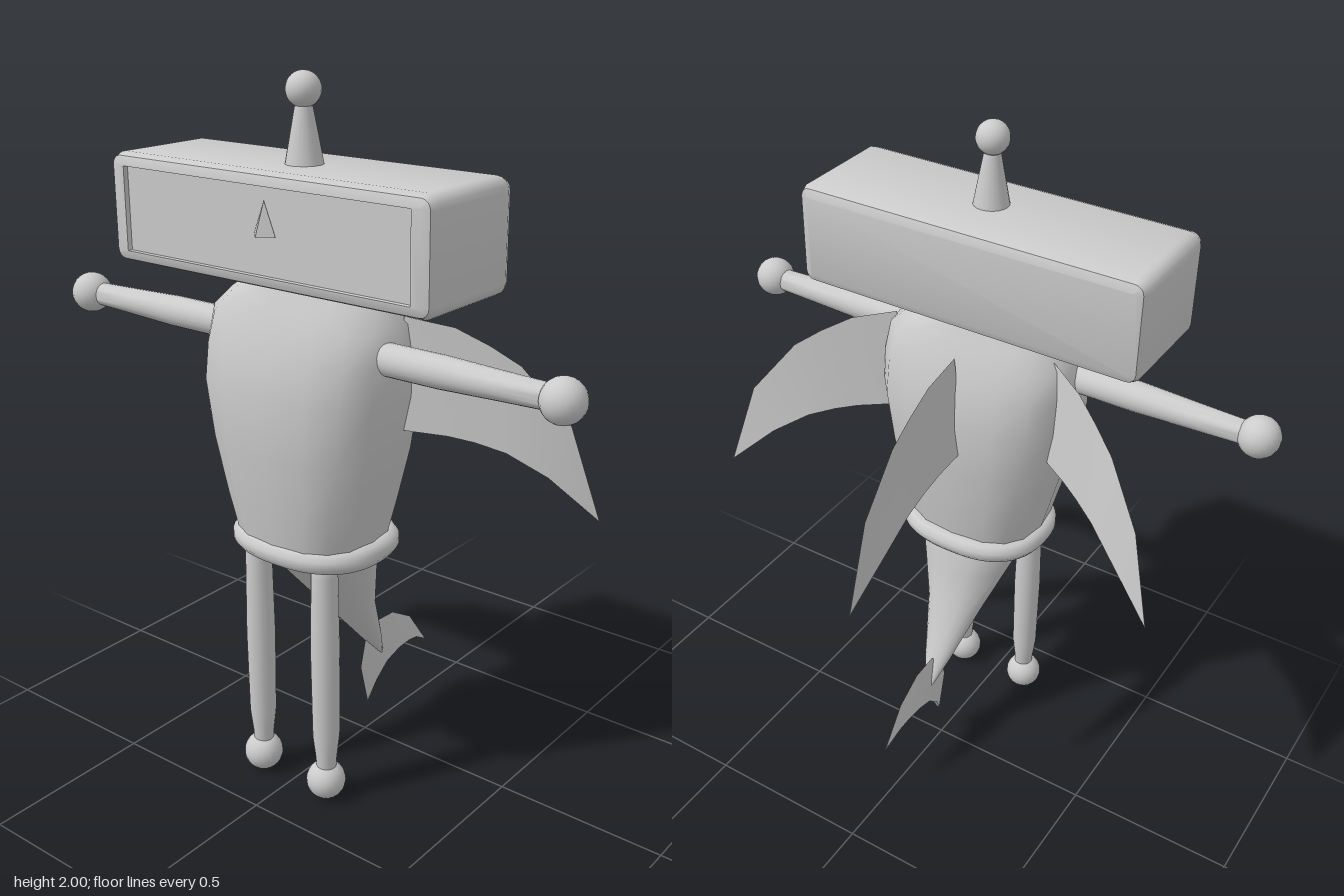
import * as THREE from 'three';
import { toCreasedNormals } from 'three/addons/utils/BufferGeometryUtils.js';

const material = new THREE.MeshStandardMaterial({ color: 0xcccccc });
const CX = 0.01; // body axis
const CZ = 0.245;

function add(parent, name, geometry, x = 0, y = 0, z = 0) {
  const mesh = new THREE.Mesh(geometry, material);
  mesh.name = name;
  mesh.position.set(x, y, z);
  parent.add(mesh);
  return mesh;
}

// Closed skin over rings of points [x, y, z], capped at both ends
function loft(rings, crease) {
  const n = rings[0].length;
  const points = rings.flat();
  const index = [];
  for (let i = 0; i < rings.length - 1; i++) {
    for (let j = 0; j < n; j++) {
      const a = i * n + j, b = i * n + (j + 1) % n;
      index.push(a, b, b + n, a, b + n, a + n);
    }
  }
  const last = (rings.length - 1) * n;
  for (let j = 1; j < n - 1; j++) {
    index.push(0, j + 1, j, last, last + j, last + j + 1);
  }
  const geometry = new THREE.BufferGeometry();
  geometry.setAttribute('position', new THREE.Float32BufferAttribute(points.flat(), 3));
  geometry.setIndex(index);
  return toCreasedNormals(geometry, crease);
}

// Squarish oval lying flat at height y
function oval(y, hx, hz, cz = 0, count = 16, power = 2.6) {
  const bend = v => Math.sign(v) * Math.abs(v) ** (2 / power);
  return Array.from({ length: count }, (_, i) => {
    const a = (i / count) * Math.PI * 2;
    return [hx * bend(Math.cos(a)), y, cz - hz * bend(Math.sin(a))];
  });
}

// Upright rounded rectangle at depth z
function roundedRect(hx, hy, r, z) {
  const ring = [];
  for (let q = 0; q < 4; q++) {
    const sx = q === 0 || q === 3 ? 1 : -1, sy = q < 2 ? 1 : -1;
    for (let k = 0; k <= 4; k++) {
      const a = (q + k / 4) * Math.PI / 2;
      ring.push([sx * (hx - r) + r * Math.cos(a), sy * (hy - r) + r * Math.sin(a), z]);
    }
  }
  return ring;
}

// Curved fin with a sharp outer edge and a thick inner edge;
// stations are [outer reach, outer y, inner reach, inner y, half thickness]
function fin(stations) {
  return loft(stations.map(([uo, yo, ui, yi, t]) => [[0, yo, uo], [-t, yi, ui], [t, yi, ui]]), 0.5);
}

function lathe(profile) {
  return new THREE.LatheGeometry(profile.map(p => new THREE.Vector2(...p)), 20);
}

export function createModel() {
  const model = new THREE.Group();

  // Box head with a sunken front panel
  const hx = 0.522, hy = 0.147;
  const shell = [[0.03, 0.077], [0.009, 0.086], [0, 0.107], [0, 0.395], [0.009, 0.416], [0.03, 0.425]]
    .map(([inset, z]) => roundedRect(hx - inset, hy - inset, 0.035 - inset, z));
  const panel = [0.425, 0.41].map(z => roundedRect(0.466, 0.113, 0.001, z));
  add(model, 'head', loft([...shell, ...panel], 0.7), -0.007, 1.625, 0);

  // Small pointed nose
  const noseShape = new THREE.ConeGeometry(0.035, 0.086, 4).toNonIndexed();
  noseShape.computeVertexNormals();
  add(model, 'nose', noseShape, 0.012, 1.66, 0.417);

  // Antenna
  add(model, 'antennaStem', new THREE.CylinderGeometry(0.018, 0.052, 0.18, 20), 0.012, 1.85, 0.262);
  add(model, 'antennaBall', new THREE.SphereGeometry(0.046, 20, 14), 0.012, 1.954, 0.262);

  // Torso, widest at the chest
  const torso = [[0.74, 0.195, 0.165], [0.88, 0.232, 0.188], [1.04, 0.272, 0.206], [1.2, 0.296, 0.216],
    [1.3, 0.295, 0.198], [1.385, 0.28, 0.175], [1.44, 0.22, 0.152], [1.485, 0.15, 0.135]]
    .map(([y, w, d]) => oval(y, w, d));
  add(model, 'torso', loft(torso, 0.9), CX, 0, CZ);

  // Belt ring
  const beltPath = new THREE.CatmullRomCurve3(
    oval(0, 0.2, 0.162, 0, 24, 2.5).map(p => new THREE.Vector3(...p)), true);
  add(model, 'belt', new THREE.TubeGeometry(beltPath, 64, 0.033, 10, true), 0.012, 0.753, 0.237);

  // Tapering tail, bent backwards
  const tail = [[0.23, -0.07, 0.004, 0.004], [0.34, 0, 0.042, 0.032], [0.5, 0.105, 0.09, 0.07],
    [0.64, 0.18, 0.14, 0.12], [0.74, 0.235, 0.178, 0.158]]
    .map(([y, cz, w, d]) => oval(y, w, d, cz, 16, 2.2));
  add(model, 'tail', loft(tail, 0.9), 0.012, 0, 0);

  // Crescent tail fin
  const fluke = add(model, 'tailFin', fin([
    [0, 0.1, 0, 0.1, 0.001], [-0.034, 0.23, 0.03, 0.163, 0.012], [-0.013, 0.31, 0.08, 0.21, 0.016],
    [0.04, 0.357, 0.14, 0.23, 0.018], [0.125, 0.352, 0.19, 0.231, 0.016],
    [0.215, 0.3, 0.235, 0.222, 0.012], [0.3, 0.183, 0.3, 0.183, 0.001]]), 0.01, 0, 0);
  fluke.rotation.y = Math.PI;

  // Three matching fins around the back
  const finShape = fin([
    [0, 1.405, 0, 1.108, 0.027], [0.13, 1.38, 0.12, 1.097, 0.027], [0.22, 1.335, 0.19, 1.083, 0.027],
    [0.3, 1.285, 0.27, 1.058, 0.027], [0.433, 1.13, 0.38, 0.995, 0.025], [0.518, 0.87, 0.518, 0.87, 0.001]]);
  for (const [name, x, z, angle] of [
    ['backFin', -0.004, 0.06, Math.PI],
    ['leftFin', 0.268, 0.185, Math.PI * 2 / 3],
    ['rightFin', -0.24, 0.185, -Math.PI * 2 / 3],
  ]) add(model, name, finShape, x, 0, z).rotation.y = angle;

  // Arms and legs, each ending in a ball
  const armShape = lathe([[0, 0.2], [0.043, 0.2], [0.043, 0.45], [0.037, 0.62], [0.032, 0.78]].reverse());
  armShape.scale(1, -1, 1).rotateX(Math.PI).scale(1, 1, 1);
  const legShape = lathe([[0.026, 0.07], [0.03, 0.13], [0.038, 0.2], [0.041, 0.45], [0.037, 0.7], [0.03, 0.76], [0, 0.76]]);
  const arm = toCreasedNormals(
    new THREE.LatheGeometry([[0.032, -0.78], [0.037, -0.62], [0.043, -0.45], [0.043, -0.2], [0, -0.2]]
      .map(p => new THREE.Vector2(...p)), 20), 0.7);
  for (const [side, s] of [['left', 1], ['right', -1]]) {
    add(model, side + 'Arm', arm, 0, 1.318, 0.28).rotation.z = s * Math.PI / 2;
    add(model, side + 'Hand', new THREE.SphereGeometry(0.058, 20, 14), -0.003 + s * 0.793, 1.318, 0.283);
    add(model, side + 'Leg', legShape, 0.009 + s * 0.118, 0, 0.341);
    add(model, side + 'Foot', new THREE.SphereGeometry(0.056, 20, 14), 0.007 + s * 0.118, 0.056, 0.341);
  }
  return model;
}
